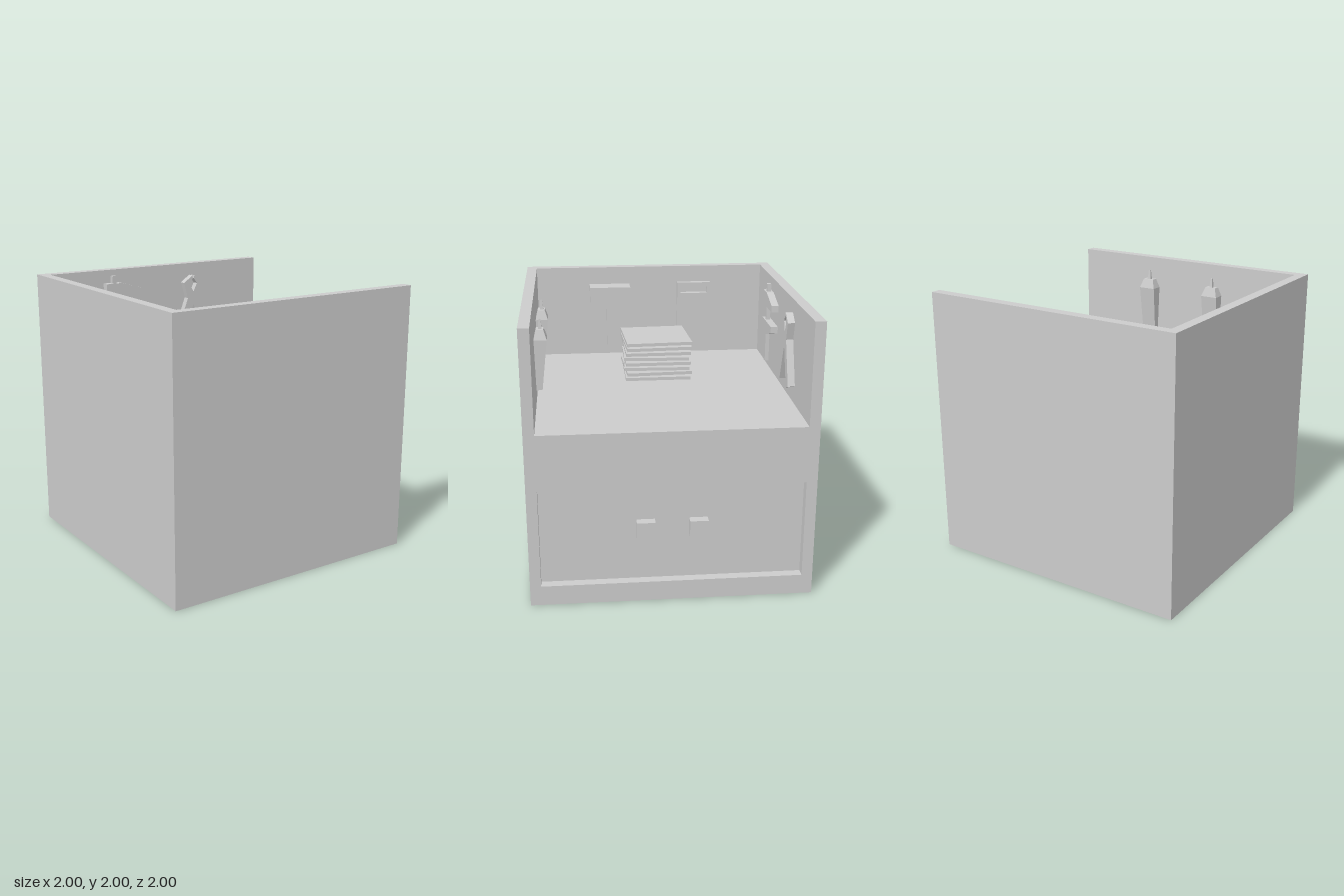
import * as THREE from 'three';

const material = new THREE.MeshStandardMaterial({ color: 0xcccccc, flatShading: true });

function add(parent, name, geometry, x = 0, y = 0, z = 0) {
  const mesh = new THREE.Mesh(geometry, material);
  mesh.name = name;
  mesh.position.set(x, y, z);
  parent.add(mesh);
  return mesh;
}

// Box given by its lower and upper corners
function block(parent, name, a, b) {
  const s = b.map((v, i) => v - a[i]);
  const c = b.map((v, i) => (v + a[i]) / 2);
  return add(parent, name, new THREE.BoxGeometry(...s), ...c);
}

function extrude(points, depth, hole) {
  const toVec = ([x, y]) => new THREE.Vector2(x, y);
  const shape = new THREE.Shape(points.map(toVec));
  if (hole) shape.holes.push(new THREE.Path(hole.map(toVec)));
  return new THREE.ExtrudeGeometry(shape, { depth, bevelEnabled: false });
}

const rect = (x0, y0, x1, y1) => [[x0, y0], [x1, y0], [x1, y1], [x0, y1]];

// Plates lying against the x direction: outline is drawn in (-z, y)
const sidePlate = (points, depth, hole) => extrude(points, depth, hole).rotateY(Math.PI / 2);

// Skin stacked rectangles [y, halfWidth, zMin, zMax], capped at both ends
function loft(rings) {
  const corners = rings.map(([y, w, z0, z1]) => [[-w, y, z1], [w, y, z1], [w, y, z0], [-w, y, z0]]);
  const pos = [];
  const quad = (a, b, c, d) => pos.push(...a, ...b, ...c, ...a, ...c, ...d);
  for (let i = 0; i < corners.length - 1; i++) {
    const lo = corners[i], hi = corners[i + 1];
    for (let k = 0; k < 4; k++) {
      const n = (k + 1) % 4;
      quad(lo[k], lo[n], hi[n], hi[k]);
    }
  }
  const first = corners[0], last = corners[corners.length - 1];
  quad(first[3], first[2], first[1], first[0]);
  quad(...last);
  const geometry = new THREE.BufferGeometry();
  geometry.setAttribute('position', new THREE.Float32BufferAttribute(pos, 3));
  geometry.computeVertexNormals();
  return geometry;
}

export function createModel() {
  const model = new THREE.Group();
  model.name = 'toolBench';
  const IN = 0.923, TOP = 1.27, RECESS = 0.93;

  // Bench body, with a framed drawer on its open side
  block(model, 'benchBody', [-1, 0, -1], [RECESS, TOP, 1]);
  add(model, 'drawerFrame',
    sidePlate(rect(-1, 0, 1, TOP), 1 - RECESS, rect(-IN, 0.145, IN, 0.865)), RECESS);
  for (const s of [-1, 1]) {
    const z = s * 0.185;
    block(model, 'drawerKnob', [RECESS, 0.477, z - 0.065], [0.997, 0.6, z + 0.065]);
  }

  // Three walls around the worktop
  const walls = extrude([[-1, -1], [1, -1], [1, -IN], [-IN, -IN], [-IN, IN], [1, IN], [1, 1], [-1, 1]], 2 - TOP);
  add(model, 'walls', walls.rotateX(-Math.PI / 2), 0, TOP, 0);

  // Loosely stacked boards
  const stack = new THREE.Group();
  stack.name = 'boardStack';
  stack.position.set(-0.37, TOP, 0);
  model.add(stack);
  [0, 0.05, -0.035, 0.01, -0.055, 0.015, 0.05, 0.05].forEach((turn, i) => {
    const board = add(stack, 'board', new THREE.BoxGeometry(0.5, 0.024, 0.5), 0, 0.014 + i * 0.039, 0);
    board.rotation.y = turn;
  });

  // Hammer
  const hammer = new THREE.Group();
  hammer.name = 'hammer';
  model.add(hammer);
  block(hammer, 'hammerHead', [-IN, 1.73, 0.17], [-0.772, 1.862, 0.497]);
  block(hammer, 'hammerHandle', [-0.872, 1.36, 0.315], [-0.823, 1.73, 0.363]);

  // Hand saw
  const saw = new THREE.Group();
  saw.name = 'saw';
  model.add(saw);
  add(saw, 'sawHandle', sidePlate(
    [[0.226, 1.68], [0.37, 1.68], [0.5, 1.742], [0.5, 1.87], [0.226, 1.87]], 0.048,
    rect(0.252, 1.782, 0.472, 1.835)), -IN);
  add(saw, 'sawBlade', sidePlate(
    [[0.226, 1.33], [0.272, 1.33], [0.367, 1.68], [0.226, 1.68]], 0.016), -0.907);

  // Bar clamp: two mirrored jaws on a bar
  const clamp = new THREE.Group();
  clamp.name = 'clamp';
  model.add(clamp);
  block(clamp, 'clampBar', [-0.413, 1.33, -0.911], [-0.376, 1.953, -0.88]);
  const jaw = (y, s) => {
    const pts = [[-0.47, y], [-0.13, y], [-0.13, y + s * 0.05], [-0.335, y + s * 0.11], [-0.47, y + s * 0.11]];
    add(clamp, 'clampJaw', extrude(pts, 0.055), 0, 0, -IN);
  };
  jaw(1.785, 1);
  jaw(1.67, -1);

  // Pliers: mirrored halves meeting at the pivot
  const pliers = new THREE.Group();
  pliers.name = 'pliers';
  model.add(pliers);
  for (const s of [-1, 1]) {
    const half = [[0, 1.66], [0.11, 1.375], [0.175, 1.4], [0.055, 1.715], [0.09, 1.845],
      [0.01, 1.903], [0.005, 1.878], [0.035, 1.835], [0, 1.765]];
    add(pliers, 'pliersHalf', extrude(half.map(([x, y]) => [s * x, y]), 0.052), 0.343, 0, -IN);
  }

  // Two tapered hanging tools
  for (const x of [-0.235, 0.345]) {
    const tool = new THREE.Group();
    tool.name = 'screwdriver';
    tool.position.x = x;
    model.add(tool);
    add(tool, 'screwdriverGrip', loft([
      [1.39, 0.058, 0.874, 0.917], [1.757, 0.067, 0.831, IN], [1.827, 0.043, 0.853, 0.906]]));
    add(tool, 'screwdriverTip', loft([
      [1.82, 0.014, 0.863, 0.891], [1.84, 0.012, 0.866, 0.889], [1.9, 0.007, 0.871, 0.884]]));
  }

  return model;
}
